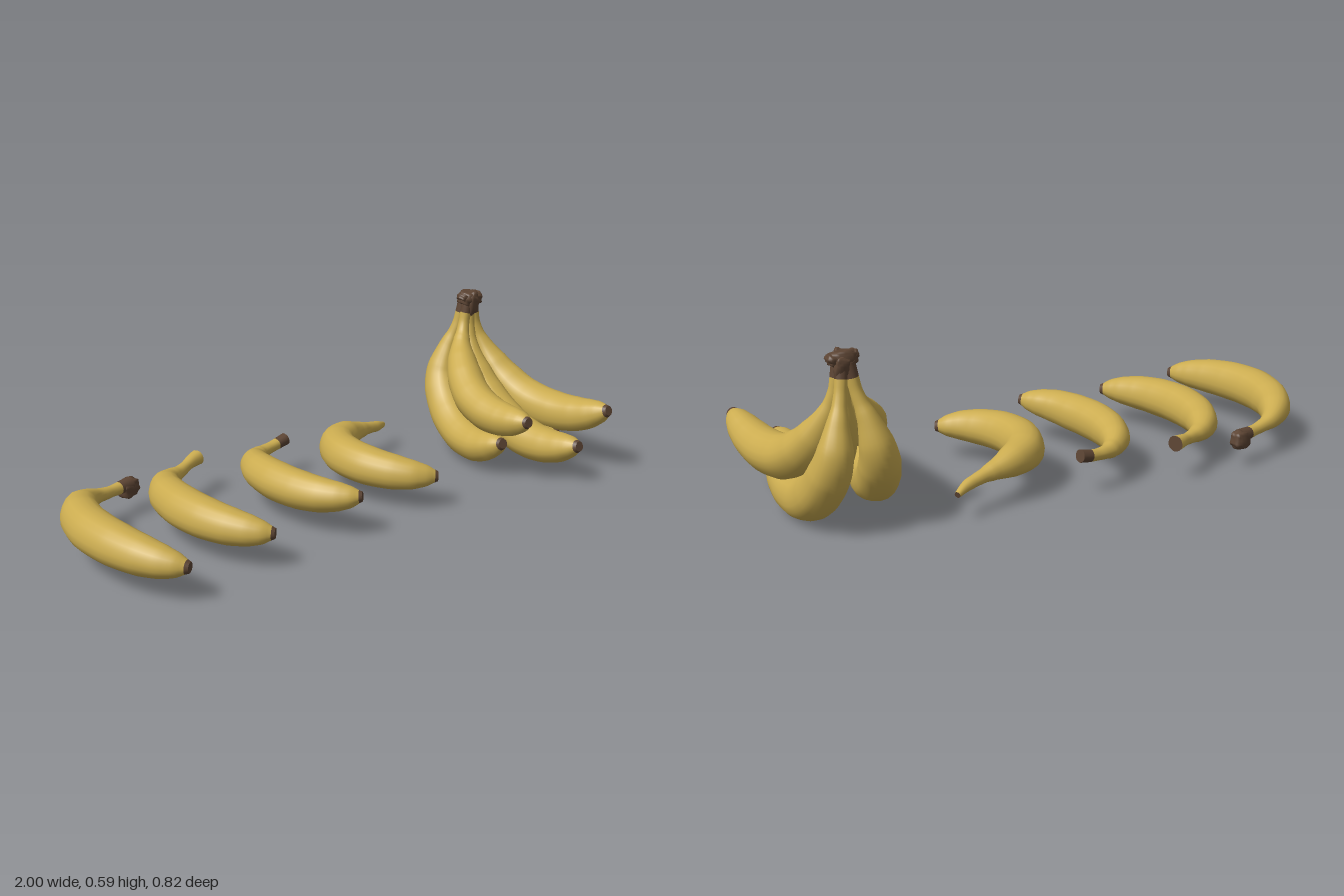
import * as THREE from 'three';

const SIDES = 20, ROWS = 72;

// Radius of a banana along its length, stem (0) to blossom tip (1)
const PROFILE = [[0, 0.021], [0.1, 0.02], [0.16, 0.024], [0.23, 0.038], [0.31, 0.056], [0.42, 0.069],
  [0.56, 0.074], [0.7, 0.072], [0.82, 0.064], [0.9, 0.053], [0.955, 0.039], [0.985, 0.024], [1, 0.018]];

function radiusAt(t) {
  let k = 0;
  while (k < PROFILE.length - 2 && t > PROFILE[k + 1][0]) k++;
  const [t0, r0] = PROFILE[k], [t1, r1] = PROFILE[k + 1];
  return THREE.MathUtils.lerp(r0, r1, (t - t0) / (t1 - t0));
}

// Sweeps a ring along a curve; material 0 is peel, 1 is the dried ends
function bananaGeometry(points, fat, stemDry, pinch) {
  const curve = new THREE.CatmullRomCurve3(points.map(p => new THREE.Vector3(...p)));
  const frames = curve.computeFrenetFrames(ROWS);
  const rows = [[0, 0], [0, 1]];
  for (let i = 0; i <= ROWS; i++) rows.push([i, 1]);
  rows.push([ROWS, 1], [ROWS, 0]);
  const pos = [], index = [], geo = new THREE.BufferGeometry();
  const v = new THREE.Vector3();
  for (const [i, scale] of rows) {
    const t = i / ROWS, c = curve.getPointAt(t);
    let r = scale * radiusAt(t);
    if (t > 0.2) r *= fat;
    if (t < 0.08) r *= 1 + pinch * (1 - t / 0.08);
    for (let j = 0; j < SIDES; j++) {
      const a = j / SIDES * Math.PI * 2;
      const rr = r * (1 + 0.018 * Math.cos(5 * a));   // soft ridges
      v.copy(c).addScaledVector(frames.normals[i], rr * Math.cos(a))
        .addScaledVector(frames.binormals[i], rr * Math.sin(a));
      pos.push(v.x, v.y, v.z);
    }
  }
  let start = 0, last = -1;
  for (let i = 0; i < rows.length - 1; i++) {
    const t = (rows[i][0] + rows[i + 1][0]) / 2 / ROWS;
    const mat = t < stemDry || t > 0.985 ? 1 : 0;
    if (mat !== last) {
      if (last >= 0) geo.addGroup(start, index.length - start, last);
      start = index.length;
      last = mat;
    }
    for (let j = 0; j < SIDES; j++) {
      const k = (j + 1) % SIDES, a = i * SIDES + j, d = i * SIDES + k;
      index.push(a, d, a + SIDES, d, d + SIDES, a + SIDES);
    }
  }
  geo.addGroup(start, index.length - start, last);
  geo.setAttribute('position', new THREE.Float32BufferAttribute(pos, 3));
  geo.setIndex(index);
  geo.computeVertexNormals();
  return geo;
}

// Rough woody lump: a sphere squared off and wrinkled by a rule
function lumpGeometry(rx, ry, rz, seed) {
  const geo = new THREE.SphereGeometry(1, 20, 14), p = geo.attributes.position;
  const v = new THREE.Vector3();
  const square = s => Math.sign(s) * Math.pow(Math.abs(s), 0.7);
  for (let i = 0; i < p.count; i++) {
    v.fromBufferAttribute(p, i);
    const n = 1 + 0.09 * Math.sin(5 * v.x + seed) * Math.cos(6 * v.z - seed) + 0.06 * Math.sin(9 * v.y + 4 * v.x + seed);
    p.setXYZ(i, square(v.x) * rx * n, square(v.y) * ry * n, square(v.z) * rz * n);
  }
  geo.computeVertexNormals();
  return geo;
}

export function createModel() {
  const peel = new THREE.MeshStandardMaterial({ color: 0xcbac50 });
  peel.name = 'yellowPeel';
  const dry = new THREE.MeshStandardMaterial({ color: 0x5c4433 });
  dry.name = 'driedBrown';
  const model = new THREE.Group();
  model.name = 'bananas';

  const addBanana = (parent, name, points, fat = 1, stemDry = 0.003, pinch = 0) => {
    const mesh = new THREE.Mesh(bananaGeometry(points, fat, stemDry, pinch), [peel, dry]);
    mesh.name = name;
    parent.add(mesh);
  };
  const addLump = (parent, name, size, at, seed, tilt = [0, 0, 0]) => {
    const mesh = new THREE.Mesh(lumpGeometry(...size, seed), dry);
    mesh.name = name;
    mesh.position.set(...at);
    mesh.rotation.set(...tilt);
    parent.add(mesh);
  };

  // Four single bananas lying in a row
  const singles = new THREE.Group();
  singles.name = 'singleBananas';
  model.add(singles);
  addBanana(singles, 'singleBanana1', [[-0.6, 0.11, -0.38], [-0.7, 0.113, -0.352], [-0.79, 0.125, -0.318],
    [-0.875, 0.137, -0.225], [-0.918, 0.14, -0.1], [-0.923, 0.14, 0.02], [-0.9, 0.136, 0.15],
    [-0.86, 0.13, 0.25], [-0.81, 0.125, 0.325]], 1, 0.05, 0.25);
  addLump(singles, 'stemKnob', [0.04, 0.034, 0.026], [-0.607, 0.098, -0.378], 1, [0, 0.3, 0.15]);
  addBanana(singles, 'singleBanana2', [[-0.32, 0.137, -0.385], [-0.355, 0.135, -0.37], [-0.42, 0.127, -0.335],
    [-0.5, 0.127, -0.29], [-0.562, 0.13, -0.2], [-0.588, 0.132, -0.08], [-0.586, 0.132, 0.03],
    [-0.56, 0.13, 0.14], [-0.51, 0.127, 0.235], [-0.465, 0.125, 0.285]], 0.96, 0.003, 0.3);
  addBanana(singles, 'singleBanana3', [[0.025, 0.142, -0.33], [-0.03, 0.132, -0.323], [-0.11, 0.127, -0.298],
    [-0.17, 0.13, -0.245], [-0.208, 0.133, -0.16], [-0.221, 0.135, -0.05], [-0.212, 0.136, 0.05],
    [-0.185, 0.14, 0.15], [-0.14, 0.145, 0.225], [-0.1, 0.15, 0.27]], 0.92, 0.05, 0.05);
  addBanana(singles, 'singleBanana4', [[0.478, 0.096, -0.322], [0.43, 0.108, -0.295], [0.35, 0.122, -0.273],
    [0.245, 0.134, -0.243], [0.155, 0.136, -0.185], [0.11, 0.136, -0.1], [0.104, 0.135, 0.0],
    [0.128, 0.132, 0.09], [0.18, 0.127, 0.175], [0.26, 0.12, 0.24]], 0.96, 0.003, -0.5);

  // Hanging bunch of five, joined at a woody crown
  const bunch = new THREE.Group();
  bunch.name = 'bananaBunch';
  model.add(bunch);
  addBanana(bunch, 'upperLeftBanana', [[0.787, 0.555, -0.2], [0.768, 0.46, -0.2], [0.728, 0.385, -0.165],
    [0.678, 0.315, -0.09], [0.64, 0.262, 0.0], [0.62, 0.237, 0.1], [0.613, 0.236, 0.2],
    [0.605, 0.262, 0.325]], 0.95, 0.06);
  addBanana(bunch, 'lowerLeftBanana', [[0.79, 0.555, -0.225], [0.772, 0.46, -0.238], [0.742, 0.36, -0.26],
    [0.715, 0.26, -0.258], [0.685, 0.165, -0.19], [0.65, 0.102, -0.07], [0.622, 0.095, 0.06],
    [0.607, 0.145, 0.2]], 0.98, 0.06);
  addBanana(bunch, 'middleBanana', [[0.803, 0.555, -0.205], [0.798, 0.46, -0.2], [0.79, 0.35, -0.17],
    [0.787, 0.235, -0.095], [0.785, 0.15, 0.02], [0.785, 0.11, 0.14], [0.787, 0.112, 0.26],
    [0.79, 0.152, 0.4]], 1, 0.06);
  addBanana(bunch, 'upperRightBanana', [[0.815, 0.555, -0.205], [0.832, 0.45, -0.2], [0.858, 0.355, -0.165],
    [0.883, 0.27, -0.1], [0.905, 0.208, 0.0], [0.922, 0.187, 0.13], [0.934, 0.202, 0.26],
    [0.945, 0.25, 0.39]], 1, 0.06);
  addBanana(bunch, 'lowerRightBanana', [[0.812, 0.555, -0.225], [0.827, 0.46, -0.24], [0.848, 0.37, -0.258],
    [0.865, 0.265, -0.26], [0.875, 0.16, -0.195], [0.88, 0.09, -0.09], [0.882, 0.075, 0.02],
    [0.885, 0.115, 0.2]], 1, 0.06);
  // Crown lumps
  addLump(bunch, 'crown', [0.046, 0.026, 0.036], [0.802, 0.565, -0.207], 2, [0.2, 0, 0]);
  addLump(bunch, 'crownFront', [0.022, 0.045, 0.02], [0.8, 0.545, -0.19], 4, [0.15, 0, 0]);
  addLump(bunch, 'crownBack', [0.024, 0.036, 0.016], [0.815, 0.54, -0.234], 5, [-0.2, 0, 0.1]);
  addLump(bunch, 'crownLeftFlare', [0.02, 0.013, 0.024], [0.768, 0.572, -0.205], 3, [0, 0, -0.4]);
  addLump(bunch, 'crownRightFlare', [0.02, 0.013, 0.024], [0.838, 0.568, -0.215], 6, [0, 0, 0.4]);
  return model;
}
